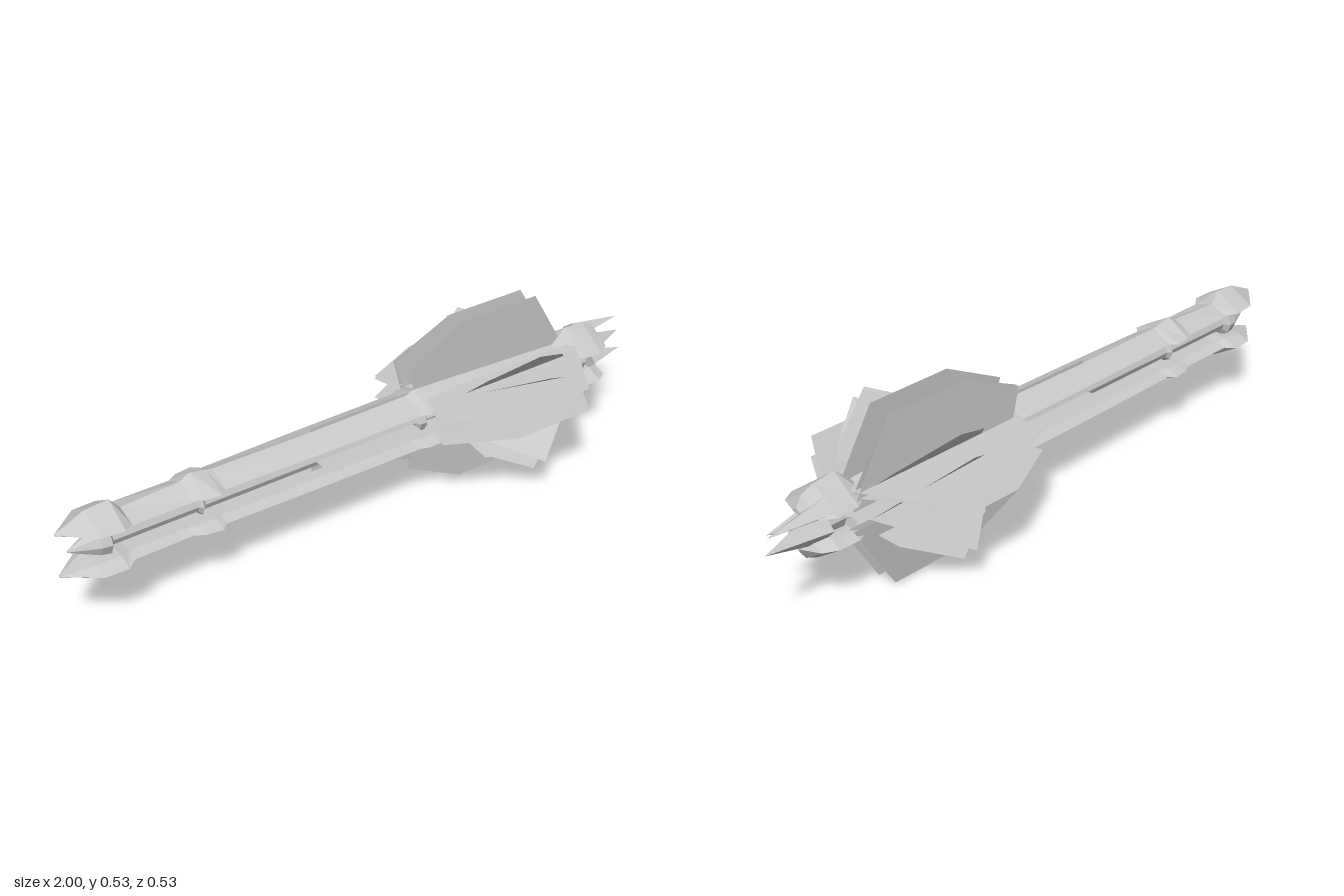
import * as THREE from 'three';

const CY = 0.268; // height of the long axis

// Skin closed rings of [x, y, z] points running towards +x
function loft(rings, flip = false) {
  const pos = [];
  const tri = (a, b, c) => pos.push(...a, ...(flip ? c : b), ...(flip ? b : c));
  const n = rings[0].length;
  for (let r = 0; r < rings.length - 1; r++) {
    const a = rings[r], b = rings[r + 1];
    for (let i = 0; i < n; i++) {
      const j = (i + 1) % n;
      tri(a[i], a[j], b[j]);
      tri(a[i], b[j], b[i]);
    }
  }
  const s = rings[0], e = rings[rings.length - 1];
  for (let i = 1; i < n - 1; i++) {
    tri(s[0], s[i + 1], s[i]);
    tri(e[0], e[i], e[i + 1]);
  }
  const g = new THREE.BufferGeometry();
  g.setAttribute('position', new THREE.Float32BufferAttribute(pos, 3));
  g.computeVertexNormals();
  return g;
}

export function createModel() {
  const model = new THREE.Group();
  model.name = 'spaceship';
  const grey = new THREE.MeshStandardMaterial({ color: 0xc8c8c8, flatShading: true, side: THREE.DoubleSide });
  grey.name = 'hull grey';

  const ship = new THREE.Group();
  ship.name = 'ship';
  ship.position.y = CY;
  model.add(ship);
  const add = (name, geo, parent = ship) => {
    const m = new THREE.Mesh(geo, grey);
    m.name = name;
    parent.add(m);
    return m;
  };

  // Twin hulls: x, half width, ridge, side edge and keel heights above the axis
  const stations = [
    [-1.0, 0.003, 0.068, 0.065, 0.062],
    [-0.91, 0.08, 0.108, 0.062, 0.045],
    [-0.84, 0.085, 0.112, 0.06, 0.04],
    [-0.81, 0.062, 0.076, 0.056, 0.046],
    [-0.63, 0.06, 0.085, 0.056, 0.046],
    [-0.6, 0.078, 0.102, 0.056, 0.044],
    [-0.55, 0.085, 0.092, 0.055, 0.044],
    [-0.53, 0.065, 0.088, 0.055, 0.046],
    [-0.2, 0.072, 0.085, 0.055, 0.046],
    [0.12, 0.075, 0.088, 0.055, 0.046],
    [0.15, 0.085, 0.098, 0.055, 0.044],
    [0.3, 0.08, 0.092, 0.055, 0.044],
    [0.68, 0.06, 0.075, 0.055, 0.046],
    [0.73, 0.092, 0.118, 0.05, 0.03],
    [0.8, 0.094, 0.112, 0.048, 0.024],
    [0.84, 0.07, 0.095, 0.05, 0.035],
    [0.86, 0.015, 0.065, 0.055, 0.05],
  ];
  for (const [name, s] of [['upperHull', 1], ['lowerHull', -1]]) {
    const rings = stations.map(([x, w, t, m, b]) => [
      [x, s * t, 0], [x, s * m, w], [x, s * b, w * 0.5], [x, s * b, -w * 0.5], [x, s * m, -w],
    ]);
    add(name, loft(rings, s < 0));
  }

  // Core rod with tail bulb, collars and front disc
  const core = [
    [-0.97, 0.003], [-0.89, 0.04], [-0.86, 0.045], [-0.85, 0.025],
    [-0.59, 0.025], [-0.58, 0.038], [-0.57, 0.025],
    [0.14, 0.025], [0.15, 0.04], [0.17, 0.04], [0.18, 0.025],
    [0.73, 0.025], [0.735, 0.046], [0.785, 0.046], [0.79, 0.03], [0.83, 0.02],
  ];
  add('core', loft(core.map(([x, r]) => [0, 1, 2, 3, 4, 5, 6, 7].map((i) => {
    const a = i * Math.PI / 4;
    return [x, r * Math.cos(a), r * Math.sin(a)];
  }))));

  // Nose spikes leaning to their tips
  const spike = (name, base, tip, ry, rz) => {
    const ring = (p, k) => [[p[0], p[1] + ry * k, p[2]], [p[0], p[1], p[2] + rz * k],
      [p[0], p[1] - ry * k, p[2]], [p[0], p[1], p[2] - rz * k]];
    add(name, loft([ring(base, 1), ring(tip, 0.02)]));
  };
  spike('upperNoseSpike', [0.8, 0.06, -0.045], [0.99, 0.055, -0.05], 0.03, 0.04);
  spike('centreNoseSpike', [0.8, 0, -0.02], [0.995, 0.005, -0.045], 0.06, 0.055);
  spike('sideNoseSpike', [0.8, 0, 0.035], [0.93, 0, 0.035], 0.035, 0.035);

  // Flat fins radiating from the axis; y of the outline points outward
  const plate = (pts) => new THREE.ShapeGeometry(new THREE.Shape(pts.map((p) => new THREE.Vector2(...p))));
  const bigFin = [[0.17, 0.03], [0.13, 0.165], [0.33, 0.265], [0.6, 0.265], [0.7, 0.1], [0.74, 0.03]];
  const smallFin = [[0.25, 0.05], [0.32, 0.185], [0.34, 0.19], [0.46, 0.27], [0.62, 0.16], [0.7, 0.05]];
  const strip = [[-0.21, 0.02], [-0.21, 0.096], [0.13, 0.096], [0.13, 0.02]];
  for (let i = 0; i < 8; i++) {
    const spoke = new THREE.Group();
    spoke.name = 'finSpoke';
    spoke.rotation.x = i * Math.PI / 4;
    ship.add(spoke);
    if (i % 2) add('diagonalFin', plate(smallFin), spoke);
    else {
      add('mainFin', plate(bigFin), spoke);
      add('sideStrip', plate(strip), spoke);
    }
  }

  // Offset main fins, thick at the root and sharp at the rim
  const wedge = (s) => {
    const pos = [];
    const pt = ([x, y], side) => [x, s * Math.min(y, 0.257), -0.068 + side * 0.012 * (1 - Math.min(y, 0.257) / 0.257)];
    for (const side of [-1, 1]) {
      for (let i = 1; i < bigFin.length - 1; i++) {
        const t = [0, i, i + 1].map((k) => pt(bigFin[k], side));
        if (side * s > 0) t.reverse();
        pos.push(...t.flat());
      }
    }
    const g = new THREE.BufferGeometry();
    g.setAttribute('position', new THREE.Float32BufferAttribute(pos, 3));
    g.computeVertexNormals();
    return g;
  };
  for (const turn of [0, Math.PI / 2]) {
    for (const s of [1, -1]) add('offsetFin', wedge(s)).rotation.x = turn;
  }

  // Swept diagonal fins, one pair each side of the hulls
  for (const s of [1, -1]) {
    const fins = [
      ['frontSweptFin', [0.25, 0.045, 0.035], [0.46, 0.142, 0.24], [0.7, 0.002, 0.096]],
      ['backSweptFin', [0.25, 0.01, -0.09], [0.46, 0.142, -0.24], [0.7, 0.0, -0.1]],
    ];
    for (const [name, a, b, c] of fins) {
      const g = new THREE.BufferGeometry();
      const m = ([x, y, z]) => [x, y * s, z];
      g.setAttribute('position', new THREE.Float32BufferAttribute([m(a), m(b), m(c)].flat(), 3));
      g.computeVertexNormals();
      add(name, g);
    }
  }
  return model;
}
